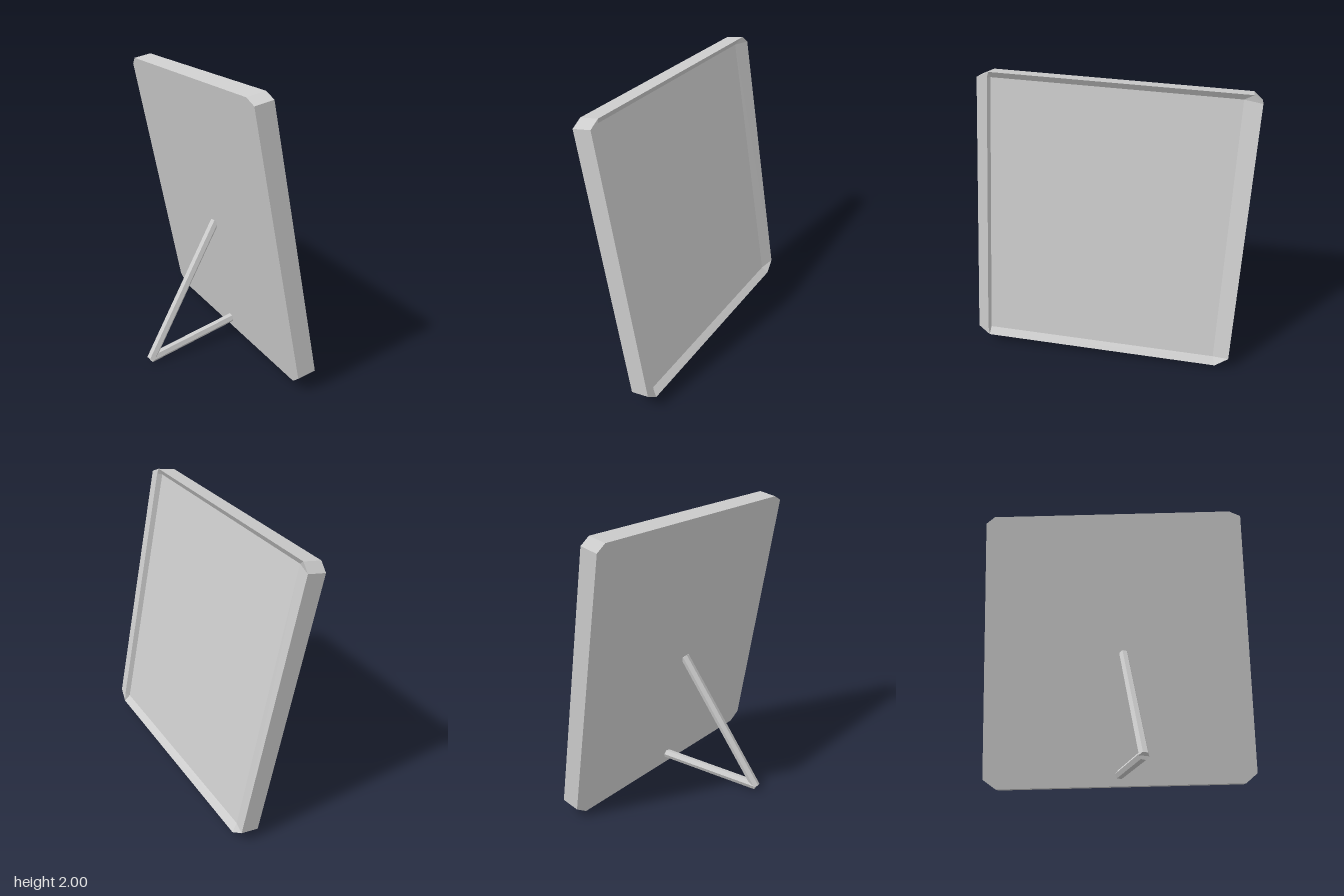
import * as THREE from 'three';

const material = new THREE.MeshStandardMaterial({ color: 0xcccccc, flatShading: true });

// Joins equal rings of points from back to front and caps both ends.
function loft(rings) {
  const pos = [];
  const tri = (...pts) => pts.forEach(p => pos.push(...p));
  const n = rings[0].length;
  for (let r = 0; r < rings.length - 1; r++) {
    for (let i = 0; i < n; i++) {
      const j = (i + 1) % n, a = rings[r], b = rings[r + 1];
      tri(a[i], a[j], b[j]);
      tri(a[i], b[j], b[i]);
    }
  }
  const back = rings[0], front = rings[rings.length - 1];
  for (let i = 1; i < n - 1; i++) {
    tri(back[0], back[i + 1], back[i]);
    tri(front[0], front[i], front[i + 1]);
  }
  const geo = new THREE.BufferGeometry();
  geo.setAttribute('position', new THREE.Float32BufferAttribute(pos, 3));
  geo.computeVertexNormals();
  return geo;
}

// Six-sided bar between two points.
function bar(name, from, to, radius) {
  const a = new THREE.Vector3(...from), b = new THREE.Vector3(...to);
  const dir = b.clone().sub(a);
  const mesh = new THREE.Mesh(new THREE.CylinderGeometry(radius, radius, dir.length(), 6), material);
  mesh.name = name;
  mesh.position.copy(a).add(b).multiplyScalar(0.5);
  mesh.quaternion.setFromUnitVectors(new THREE.Vector3(0, 1, 0), dir.normalize());
  return mesh;
}

export function createModel() {
  const model = new THREE.Group();
  model.name = 'standingFrame';

  // Board with cut corners, in its own plane: x across, y up, z out of its face
  const thickness = 0.13, recess = 0.035;
  const outline = [[0, 0], [0.08, -0.065], [1.76, -0.067], [1.85, 0],
    [1.86, 1.85], [1.8, 1.9], [0.08, 1.9], [0, 1.862]];
  const at = (pts, z) => pts.map(([x, y]) => [x, y, z]);
  const rim = outline.map(([x, y]) => [Math.max(x, 0.07), y]);
  // Sunken rectangular panel inside the bevelled border
  const panel = outline.map(([x, y]) => [x < 1 ? 0.083 : 1.74, y < 1 ? -0.015 : 1.86]);
  const board = new THREE.Mesh(
    loft([at(outline, -thickness), at(outline, 0), at(rim, 0), at(panel, -recess)]), material);
  board.name = 'framedBoard';

  // Lean the board back and turn it to the side
  const across = new THREE.Vector3(0.32, -0.0215, -0.947).normalize();
  const up = new THREE.Vector3(-0.172, 0.982, -0.08).normalize();
  const out = across.clone().cross(up).normalize();
  board.applyMatrix4(new THREE.Matrix4().makeBasis(across, up, out).setPosition(-0.01, 0.14, 0.97));
  model.add(board);

  // Folding stand behind the board: two bars meeting at the foot
  const stand = new THREE.Group();
  stand.name = 'backStand';
  stand.add(
    bar('upperStrut', [-0.56, 0.03, -0.035], [0.01, 0.93, 0.03], 0.032),
    bar('lowerStrut', [-0.56, 0.035, -0.035], [0.18, 0.11, 0.055], 0.032));
  model.add(stand);

  return model;
}
